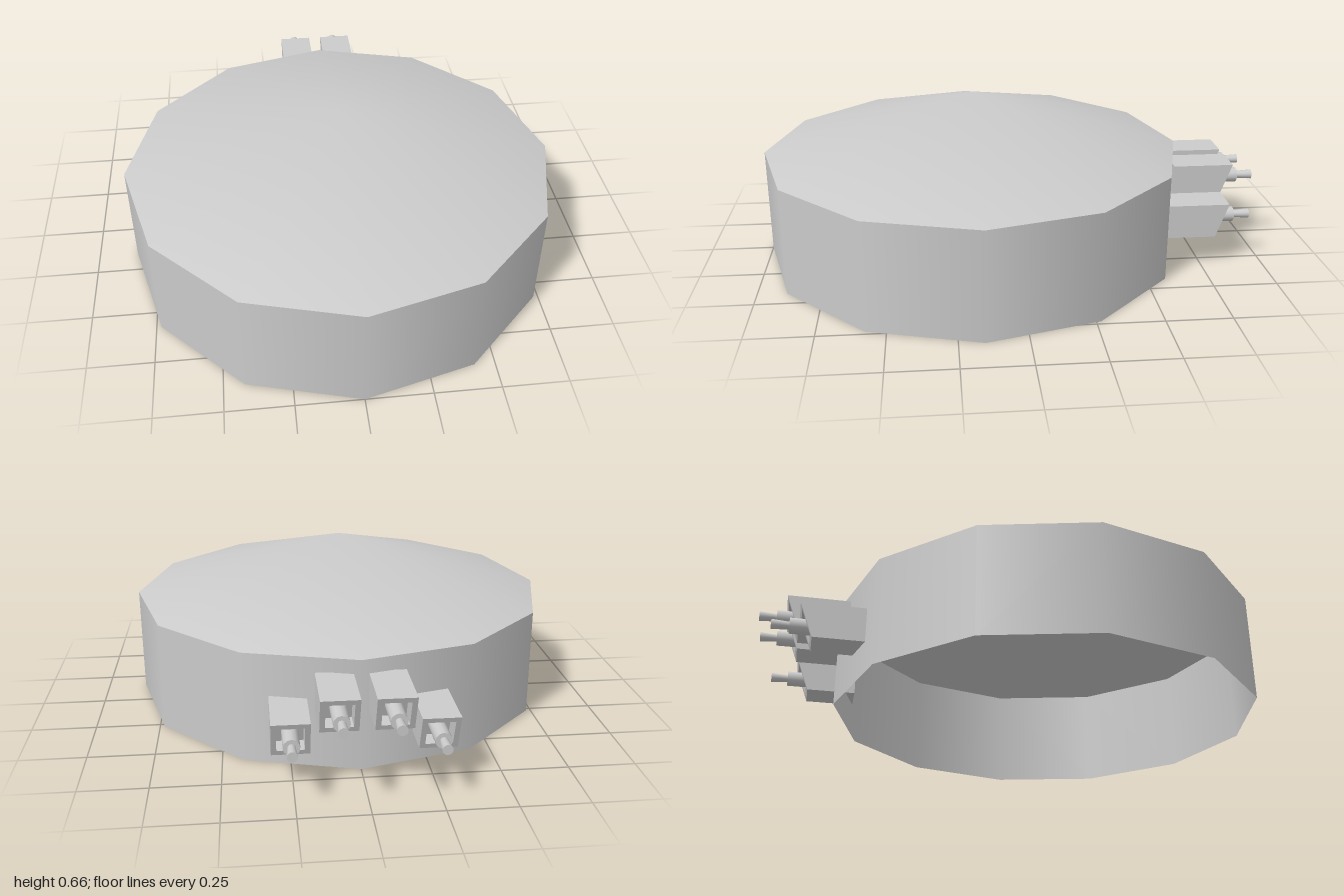
import * as THREE from 'three';
import { mergeVertices } from 'three/addons/utils/BufferGeometryUtils.js';

const RADIUS = 0.845, WALL = 0.425, ROOF = 0.235, CENTER_Z = 0.155;
const grey = new THREE.MeshStandardMaterial({ color: 0xcccccc, side: THREE.DoubleSide });

function part(name, geometry, parent) {
  const mesh = new THREE.Mesh(geometry, grey);
  mesh.name = name;
  parent.add(mesh);
  return mesh;
}

function square(size, Type) {
  const h = size / 2;
  return new Type([[-h, -h], [h, -h], [h, h], [-h, h]].map(([x, y]) => new THREE.Vector2(x, y)));
}

// Prism along z whose rear (-z) end leans outward towards the top
function slantedPrism(shape, front, rear, lean) {
  const g = new THREE.ExtrudeGeometry(shape, { depth: 1, bevelEnabled: false });
  const p = g.attributes.position;
  for (let i = 0; i < p.count; i++) {
    p.setZ(i, p.getZ(i) > 0.5 ? front : rear - p.getY(i) * lean);
  }
  g.computeVertexNormals();
  return g;
}

// Closed cylinder pointing to -z between two depths
function rod(rNear, rEnd, near, end) {
  const g = new THREE.CylinderGeometry(rEnd, rNear, near - end, 12);
  g.rotateX(-Math.PI / 2);
  g.translate(0, 0, (near + end) / 2);
  return g;
}

// Hollow housing with a stepped outlet pipe; z is relative to the pipe tip
function createOutlet() {
  const outlet = new THREE.Group();
  outlet.name = 'outlet';
  const frame = square(0.136, THREE.Shape);
  frame.holes.push(square(0.098, THREE.Path));
  part('housing', slantedPrism(frame, 0.342, 0.125, 0.37), outlet);
  part('housingCore', slantedPrism(square(0.1, THREE.Shape), 0.342, 0.2, 0.37), outlet);
  part('pipeCollar', rod(0.03, 0.03, 0.22, 0.066), outlet);
  part('pipeTip', rod(0.014, 0.019, 0.07, 0), outlet);
  return outlet;
}

export function createModel() {
  const model = new THREE.Group();
  model.name = 'roundTank';

  // Twelve-sided wall, open underneath
  const wall = part('drumWall', new THREE.CylinderGeometry(RADIUS, RADIUS, WALL, 12, 1, true), model);
  wall.position.set(0, WALL / 2, CENTER_Z);

  // Conical roof with normals blended across the apex
  let cone = new THREE.ConeGeometry(RADIUS, ROOF, 12, 1, true);
  cone.deleteAttribute('normal');
  cone.deleteAttribute('uv');
  cone = mergeVertices(cone);
  cone.computeVertexNormals();
  part('roof', cone, model).position.set(0, WALL + ROOF / 2, CENTER_Z);

  // Two mirrored pairs of outlets on the back
  for (const side of [-1, 1]) {
    for (const [x, y, z] of [[0.095, 0.303, -1], [0.258, 0.197, -0.945]]) {
      const outlet = createOutlet();
      outlet.position.set(side * x, y, z);
      model.add(outlet);
    }
  }
  return model;
}
